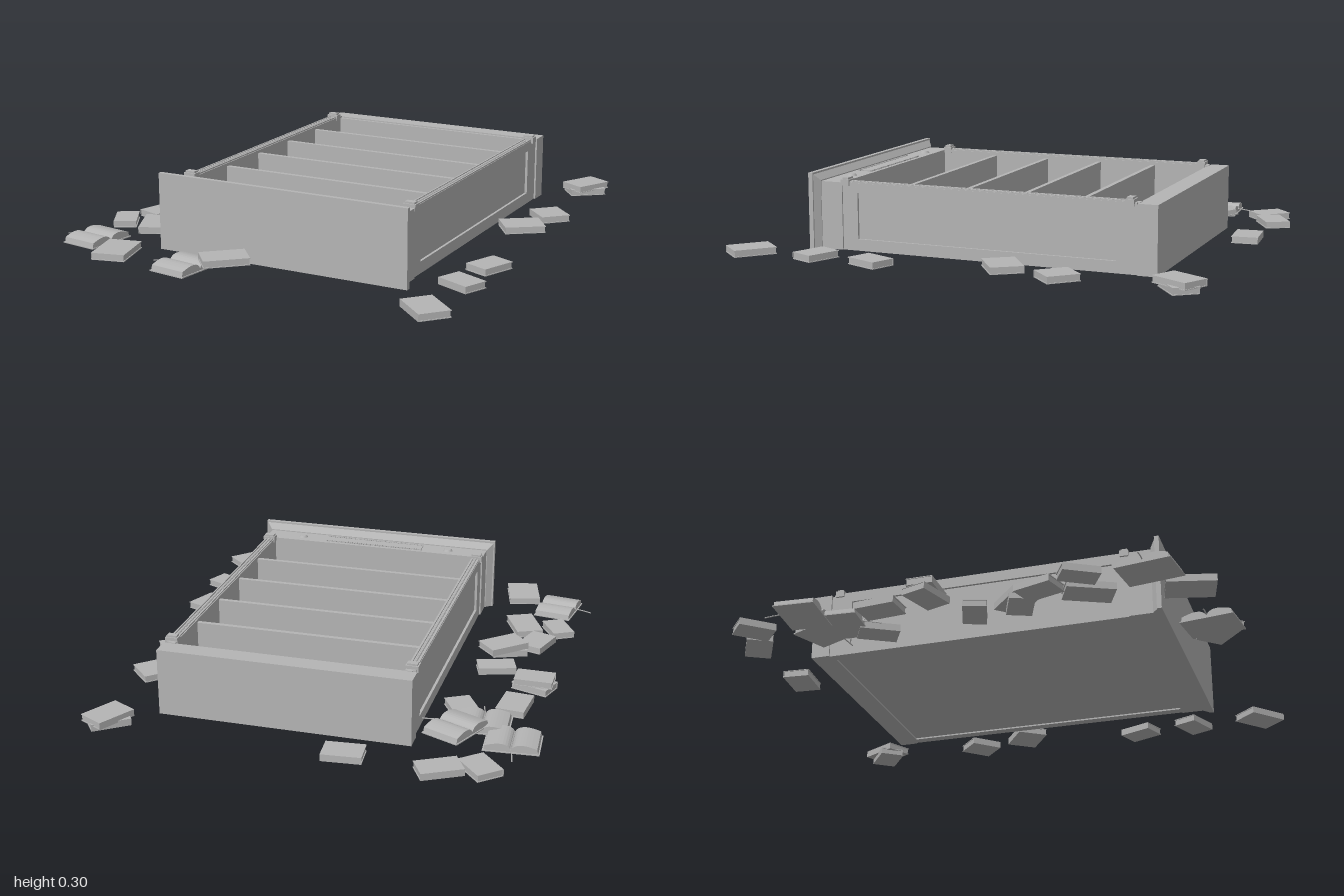
import * as THREE from 'three';
import { mergeGeometries } from 'three/addons/utils/BufferGeometryUtils.js';

const grey = new THREE.MeshStandardMaterial({ color: 0xb4b4b4 });
grey.name = 'plain grey';
const greyThin = grey.clone();
greyThin.side = THREE.DoubleSide;
greyThin.name = 'plain grey thin';

// Box given by its limits on each axis
function span(x0, x1, y0, y1, z0, z1) {
  return new THREE.BoxGeometry(x1 - x0, y1 - y0, z1 - z0)
    .translate((x0 + x1) / 2, (y0 + y1) / 2, (z0 + z1) / 2);
}

function add(parent, name, geometries, material = grey) {
  const list = Array.isArray(geometries) ? geometries : [geometries];
  const mesh = new THREE.Mesh(list.length > 1 ? mergeGeometries(list) : list[0], material);
  mesh.name = name;
  parent.add(mesh);
  return mesh;
}

// Bookcase lying on its back: top end at -x, open front facing up
function makeBookcase() {
  const g = new THREE.Group();
  g.name = 'bookcase';
  add(g, 'backPanel', span(-0.6, 0.63, 0.006, 0.02, -0.46, 0.46));
  add(g, 'plinth', [
    span(0.613, 0.686, 0, 0.26, -0.485, 0.485),
    span(0.6, 0.613, 0, 0.255, -0.478, 0.478),
  ]);

  for (const s of [-1, 1]) {
    const side = (x0, x1, y0, y1, a, b) => span(x0, x1, y0, y1, Math.min(s * a, s * b), Math.max(s * a, s * b));
    const panel = new THREE.Group();
    panel.name = s > 0 ? 'leftSide' : 'rightSide';
    g.add(panel);
    add(panel, 'sidePanel', side(-0.58, 0.613, 0, 0.262, 0.44, 0.468));
    // Raised frame round the recessed side panel
    add(panel, 'sideFrame', [
      side(-0.58, 0.605, 0, 0.045, 0.46, 0.478),
      side(-0.58, 0.605, 0.225, 0.262, 0.46, 0.478),
      side(-0.58, -0.51, 0.045, 0.225, 0.46, 0.478),
      side(0.53, 0.605, 0.045, 0.225, 0.46, 0.478),
    ]);
    add(panel, 'frontMoulding', [
      side(-0.55, 0.57, 0.262, 0.267, 0.444, 0.45),
      side(-0.55, 0.57, 0.262, 0.267, 0.47, 0.476),
    ]);
    // Beading along the front edge
    const beads = [];
    for (let i = 0; i < 70; i++) {
      beads.push(new THREE.SphereGeometry(0.006, 6, 4).translate(-0.54 + i * 0.0156, 0.264, s * 0.46));
    }
    add(panel, 'beading', beads);
    add(panel, 'cornerBlocks', [-0.56, 0.58].flatMap((u) => [
      side(u - 0.017, u + 0.017, 0.25, 0.274, 0.437, 0.486),
      side(u - 0.012, u + 0.012, 0.274, 0.281, 0.442, 0.481),
    ]));
  }

  for (let i = 0; i < 4; i++) {
    const u = -0.336 + i * 0.237;
    add(g, 'shelf', span(u - 0.009, u + 0.009, 0.02, 0.25, -0.44, 0.44));
  }

  // Top end with frieze and stepped cornice
  add(g, 'frieze', span(-0.665, -0.573, 0, 0.262, -0.484, 0.484));
  const cove = new THREE.BoxGeometry(0.02, 0.28, 1);
  const p = cove.attributes.position;
  for (let i = 0; i < p.count; i++) {
    const wide = p.getX(i) < 0;
    p.setXYZ(i, wide ? -0.682 : -0.662, p.getY(i) < 0 ? 0 : wide ? 0.29 : 0.266,
      Math.sign(p.getZ(i)) * (wide ? 0.51 : 0.487));
  }
  cove.computeVertexNormals();
  add(g, 'corniceCove', cove);
  add(g, 'corniceCap', span(-0.7, -0.682, 0, 0.297, -0.516, 0.516));

  // Carved frieze panel edged with small blocks, and rosettes
  const carving = [span(-0.638, -0.596, 0.26, 0.265, -0.21, 0.21)];
  for (let i = 0; i < 42; i++) {
    const w = -0.21 + i * 0.01024;
    for (const u of [-0.643, -0.591]) carving.push(span(u - 0.003, u + 0.003, 0.26, 0.267, w - 0.003, w + 0.003));
  }
  add(g, 'friezeCarving', carving);
  for (const s of [-1, 1]) {
    add(g, 'rosette', new THREE.CylinderGeometry(0.014, 0.02, 0.01, 16).translate(-0.615, 0.266, s * 0.325));
  }
  g.position.set(0.009, 0, 0.064);
  g.rotation.y = 0.142;
  return g;
}

// Closed book lying flat: two covers, spine and page block
function makeBook(length, width, t) {
  const g = new THREE.Group();
  g.name = 'closedBook';
  const l = length / 2, w = width / 2, c = 0.003;
  add(g, 'covers', [
    span(-l, l, 0, c, -w, w),
    span(-l, l, t - c, t, -w, w),
    span(-l, l, c, t - c, -w, -w + c),
  ]);
  add(g, 'pages', span(-l + 0.003, l - 0.003, c, t - c, -w + c, w - 0.003));
  return g;
}

// Open book: flat covers, two arched page blocks and a ribbon
function makeOpenBook() {
  const g = new THREE.Group();
  g.name = 'openBook';
  add(g, 'covers', [span(-0.103, -0.005, 0, 0.004, -0.078, 0.078), span(0.005, 0.103, 0, 0.004, -0.078, 0.078),
    span(-0.005, 0.005, 0, 0.003, -0.078, 0.078)]);
  for (const s of [-1, 1]) {
    const shape = new THREE.Shape();
    shape.moveTo(0, 0.004);
    shape.lineTo(s * 0.098, 0.004);
    shape.lineTo(s * 0.094, 0.022);
    shape.bezierCurveTo(s * 0.06, 0.034, s * 0.015, 0.044, 0, 0.012);
    add(g, 'pages', new THREE.ExtrudeGeometry(shape, { depth: 0.148, bevelEnabled: false, curveSegments: 10 })
      .translate(0, 0, -0.074));
  }
  const path = new THREE.CatmullRomCurve3([
    new THREE.Vector3(0, 0.014, 0.07), new THREE.Vector3(0, 0.016, -0.07),
    new THREE.Vector3(-0.006, 0.012, -0.1), new THREE.Vector3(-0.012, 0.004, -0.143),
  ]);
  add(g, 'ribbon', new THREE.TubeGeometry(path, 12, 0.0025, 5), greyThin);
  return g;
}

export function createModel() {
  const model = new THREE.Group();
  model.name = 'fallenBookcase';
  model.add(makeBookcase());

  // x, z, length, width, turn in degrees, height of underside
  const fallen = [
    [-0.9, -0.44, 0.18, 0.13, 22, 0], [-0.85, 0.045, 0.17, 0.115, -40, 0.046],
    [-0.58, -0.695, 0.14, 0.09, 38, 0], [-0.56, -0.555, 0.18, 0.11, 33, 0],
    [-0.41, -0.655, 0.15, 0.105, -9, 0], [-0.28, -0.555, 0.17, 0.11, -39, 0.026],
    [-0.3, -0.57, 0.14, 0.095, -60, 0],
    [-0.12, -0.58, 0.15, 0.09, -64, 0], [-0.02, -0.77, 0.15, 0.1, 80, 0],
    [-0.02, -0.77, 0.15, 0.1, 98, 0.026], [0.175, -0.755, 0.155, 0.11, 3, 0],
    [0.28, -0.585, 0.15, 0.1, 38, 0], [0.69, -0.8, 0.14, 0.105, 50, 0],
    [0.755, -0.67, 0.16, 0.1, -53, 0], [0.785, -0.32, 0.15, 0.105, -77, 0],
    [0.903, 0.58, 0.16, 0.11, -20, 0.02], [0.9, 0.58, 0.15, 0.1, -45, -0.006],
    [0.463, 0.647, 0.13, 0.12, 52, 0], [0.238, 0.647, 0.16, 0.125, -47, 0.01],
    [-0.243, 0.786, 0.14, 0.1, -14, 0], [-0.473, 0.813, 0.14, 0.1, 75, 0.005],
    [-0.757, 0.845, 0.165, 0.12, 56, 0],
  ];
  const inside = [
    [-0.468, -0.16, 10], [-0.222, -0.107, -3], [0.03, -0.043, 5], [0.249, -0.219, 3],
    [0.5, -0.107, 0], [-0.195, 0.075, -6], [-0.42, 0.155, 20], [-0.393, 0.342, 22],
    [-0.152, 0.39, -4], [0.072, 0.267, 20], [0.307, 0.251, 10], [0.559, 0.321, 18],
  ].map(([x, z, a]) => [x, z, 0.14, 0.097, a, 0.021]);
  for (const [x, z, l, w, a, y] of [...fallen, ...inside]) {
    const book = makeBook(l, w, 0.027);
    book.position.set(x, Math.max(y, 0), z);
    book.rotation.y = THREE.MathUtils.degToRad(a);
    model.add(book);
  }

  // x, y, z, turn
  const open = [
    [-0.815, 0, -0.626, 0], [-0.874, 0, -0.123, 0], [0.452, 0, -0.84, -1.36],
    [0.365, 0.005, -0.695, 1.78], [0.478, 0.027, -0.63, 2.87],
  ];
  for (const [x, y, z, a] of open) {
    const book = makeOpenBook();
    book.position.set(x, y, z);
    book.rotation.y = a;
    model.add(book);
  }
  return model;
}
